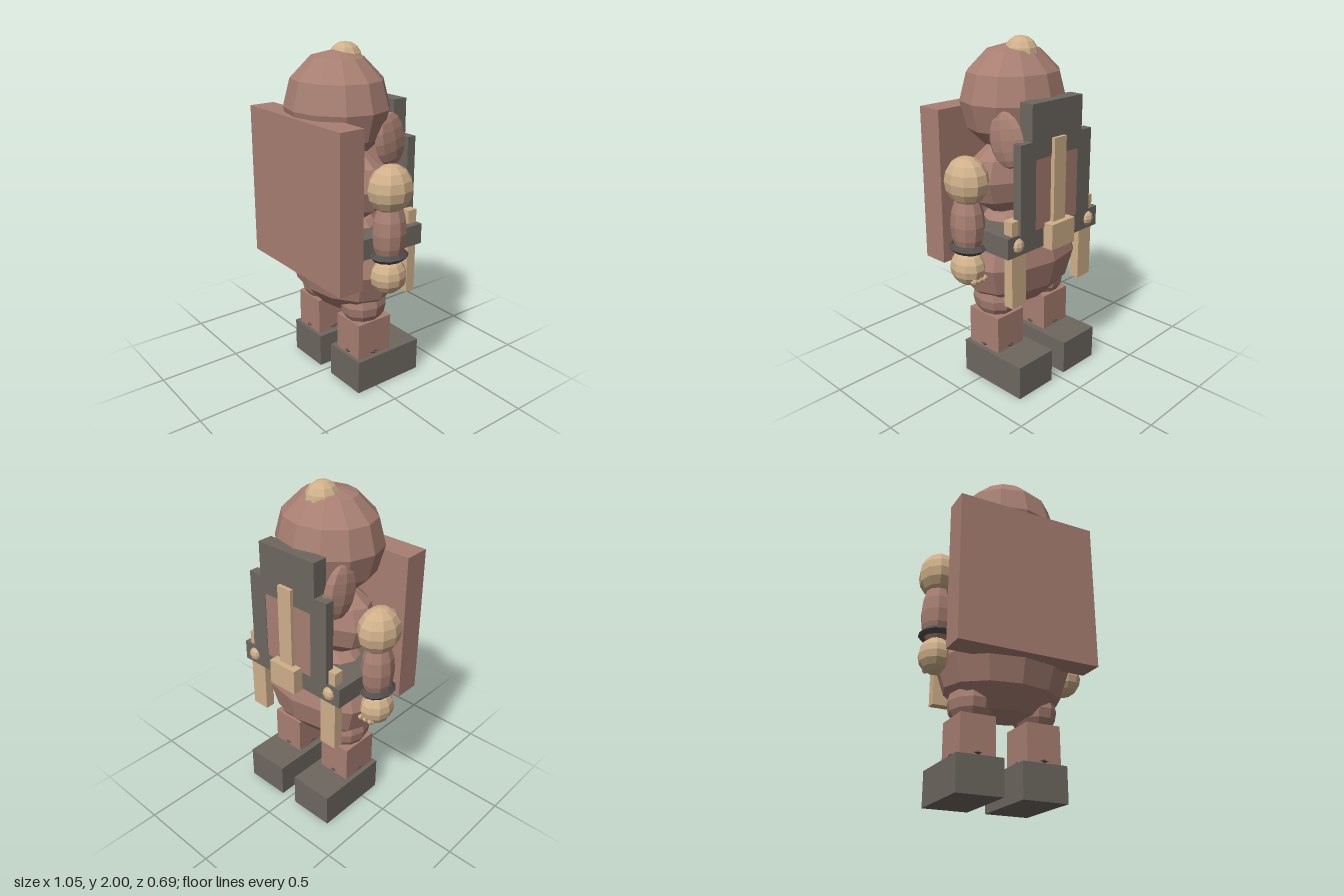
import * as THREE from 'three';

const material = (name, color) => {
  const m = new THREE.MeshStandardMaterial({ color, flatShading: true });
  m.name = name;
  return m;
};

export function createModel() {
  const clay = material('clay', 0xa87f72);
  const grey = material('warm grey', 0x6d675f);
  const tan = material('tan', 0xcfb08a);
  const dark = material('dark grey', 0x52504e);
  const model = new THREE.Group();
  model.name = 'figure';

  const add = (name, geometry, mat) => {
    const mesh = new THREE.Mesh(geometry, mat);
    mesh.name = name;
    model.add(mesh);
    return mesh;
  };
  // Box from its minimum and maximum corners
  const box = (name, mat, [x0, y0, z0], [x1, y1, z1]) => {
    const mesh = add(name, new THREE.BoxGeometry(x1 - x0, y1 - y0, z1 - z0), mat);
    mesh.position.set((x0 + x1) / 2, (y0 + y1) / 2, (z0 + z1) / 2);
    return mesh;
  };
  // Low-poly ellipsoid
  const ball = (name, mat, centre, radii, across = 10, down = 8) => {
    const mesh = add(name, new THREE.SphereGeometry(1, across, down).scale(...radii), mat);
    mesh.position.set(...centre);
    return mesh;
  };
  // Flat-lying ring
  const ring = (name, mat, centre, radius, tube, sides, sx, sz) => {
    const g = new THREE.TorusGeometry(radius, tube, 4, sides).rotateX(Math.PI / 2).scale(sx, 1, sz);
    add(name, g, mat).position.set(...centre);
  };
  // Box mirrored across x, given for the +x side
  const boxPair = (name, mat, [x0, y0, z0], [x1, y1, z1]) => {
    box('left' + name, mat, [x0, y0, z0], [x1, y1, z1]);
    box('right' + name, mat, [-x1, y0, z0], [-x0, y1, z1]);
  };

  // Body and head
  ball('belly', clay, [0, 0.75, 0], [0.41, 0.32, 0.285], 12, 6);
  ball('chest', clay, [0, 1.23, 0.02], [0.35, 0.24, 0.18], 12, 6);
  ball('head', clay, [0, 1.655, 0.045], [0.32, 0.31, 0.288], 12, 6);
  ball('topKnot', tan, [0, 1.9, -0.012], [0.093, 0.1, 0.103], 10, 8);

  // Back slab
  box('backSlab', clay, [-0.427, 0.73, 0.19], [0.427, 1.625, 0.345]);

  // Belt, buckle and hanging tabs
  box('belt', grey, [-0.373, 0.875, -0.28], [0.373, 0.995, 0.2]);
  box('buckle', tan, [-0.094, 0.865, -0.345], [0.094, 1.015, -0.27]);
  boxPair('BeltTab', tan, [0.225, 0.565, -0.272], [0.335, 1.075, -0.212]);

  // Bib with an inset panel and a central strip
  box('bibTop', grey, [-0.2, 1.49, -0.29], [0.2, 1.69, -0.2]);
  box('bibUpper', grey, [-0.285, 1.39, -0.29], [0.285, 1.49, -0.235]);
  boxPair('BibSide', grey, [0.17, 0.99, -0.29], [0.285, 1.39, -0.235]);
  box('bibPanel', clay, [-0.17, 0.99, -0.287], [0.17, 1.39, -0.235]);
  box('bibStrip', tan, [-0.048, 0.99, -0.312], [0.048, 1.49, -0.285]);

  // Paired limbs and details
  for (const s of [1, -1]) {
    const side = s > 0 ? 'left' : 'right';
    ball(side + 'Ear', clay, [s * 0.243, 1.485, -0.14], [0.043, 0.155, 0.118], 8, 8).rotation.set(0.2, s * 0.1, 0);
    ball(side + 'BeltKnob', tan, [s * 0.295, 0.935, -0.27], [0.042, 0.045, 0.038], 8, 6);

    // Arm
    ball(side + 'Shoulder', tan, [s * 0.41, 1.268, -0.005], [0.114, 0.137, 0.136], 10, 8);
    ball(side + 'Forearm', clay, [s * 0.41, 1.02, -0.005], [0.092, 0.2, 0.102], 10, 8);
    ring(side + 'WristBand', dark, [s * 0.41, 0.888, -0.003], 0.095, 0.024, 12, 0.85, 1);
    ball(side + 'Hand', tan, [s * 0.413, 0.765, -0.002], [0.095, 0.105, 0.11], 10, 8);
    for (const i of [-1, 0, 1])
      ball(side + 'Finger', tan, [s * 0.405 + i * 0.035, 0.705, -0.075], [0.018, 0.022, 0.035], 6, 5).rotation.x = 0.4;

    // Leg
    ball(side + 'Thigh', clay, [s * 0.2, 0.52, 0], [0.125, 0.14, 0.145], 10, 8);
    box(side + 'Shin', clay, [s * 0.198 - 0.104, 0.2, -0.123], [s * 0.198 + 0.104, 0.43, 0.115]);
    ring(side + 'AnkleBand', dark, [s * 0.198, 0.222, -0.004], 0.1, 0.018, 8, 0.97, 1.11);
    box(side + 'Boot', grey, [s * 0.192 - 0.137, 0, -0.325], [s * 0.192 + 0.137, 0.205, 0.135]);
  }
  return model;
}
